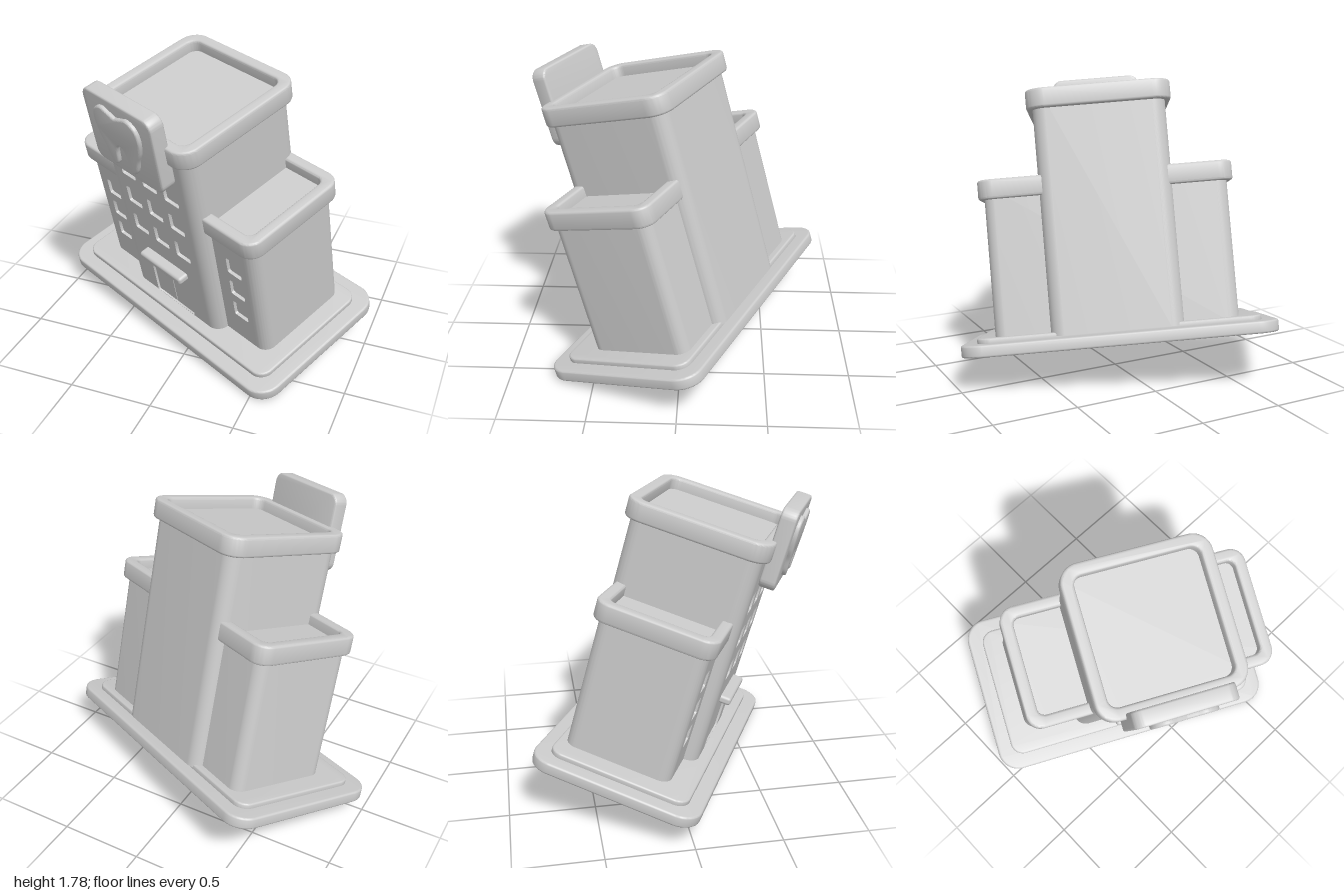
import * as THREE from 'three';
import { toCreasedNormals } from 'three/addons/utils/BufferGeometryUtils.js';
import { RoundedBoxGeometry } from 'three/addons/geometries/RoundedBoxGeometry.js';

const material = new THREE.MeshStandardMaterial({ color: 0xcccccc });
const RECESS = 0.02;

function add(parent, name, geometry) {
  const mesh = new THREE.Mesh(geometry, material);
  mesh.name = name;
  parent.add(mesh);
  return mesh;
}

// Rounded rectangle; notches [a, b] cut shallow pockets in its lower (front) side.
function roundRect(target, x0, y0, x1, y1, r, notches = []) {
  target.moveTo(x0 + r, y0);
  for (const [a, b] of notches) {
    target.lineTo(a, y0);
    target.lineTo(a, y0 + RECESS);
    target.lineTo(b, y0 + RECESS);
    target.lineTo(b, y0);
  }
  target.lineTo(x1 - r, y0);
  target.absarc(x1 - r, y0 + r, r, -Math.PI / 2, 0);
  target.absarc(x1 - r, y1 - r, r, 0, Math.PI / 2);
  target.absarc(x0 + r, y1 - r, r, Math.PI / 2, Math.PI);
  target.absarc(x0 + r, y0 + r, r, Math.PI, Math.PI * 1.5);
  return target;
}

// Extrusion along +z between two depths, with a soft edge that stays inside the outline.
function slab(shape, from, to, bevel = 0) {
  const g = new THREE.ExtrudeGeometry(shape, {
    depth: to - from - 2 * bevel, curveSegments: 8,
    bevelEnabled: bevel > 0, bevelThickness: bevel, bevelSize: bevel, bevelOffset: -bevel, bevelSegments: 3,
  });
  g.translate(0, 0, from + bevel);
  return toCreasedNormals(g, 0.6);
}

// Plan shape (x, -z) raised between two heights.
const raise = (shape, y0, y1, bevel) => slab(shape, y0, y1, bevel).rotateX(-Math.PI / 2);

const plan = (hx, back, front, r, notches) =>
  roundRect(new THREE.Shape(), -hx, -front, hx, -back, r, notches);

function parapet(hx, back, front, r, y0, y1) {
  const t = 0.07;
  const shape = plan(hx, back, front, r);
  shape.holes.push(roundRect(new THREE.Path(), -hx + t, -front + t, hx - t, -back - t, r * 0.5));
  return raise(shape, y0, y1, 0.014);
}

// Wall panel with openings, set flush into a pocket of the body.
function facade(x0, x1, top, front, openings) {
  const shape = new THREE.Shape();
  shape.moveTo(x0, 0.08);
  shape.lineTo(x1, 0.08);
  shape.lineTo(x1, top);
  shape.lineTo(x0, top);
  for (const [x, y, w, h, r] of openings) {
    shape.holes.push(roundRect(new THREE.Path(), x - w / 2, y - h / 2, x + w / 2, y + h / 2, r));
  }
  return slab(shape, front - RECESS, front);
}

function toothShape() {
  const half = [
    [0.05, 0.162], [0.11, 0.178], [0.168, 0.145], [0.187, 0.075], [0.17, -0.01], [0.138, -0.08],
    [0.112, -0.155], [0.078, -0.188], [0.05, -0.165], [0.04, -0.09], [0.024, -0.05],
  ];
  const right = half.map(([x, y]) => new THREE.Vector2(x, y));
  const left = half.map(([x, y]) => new THREE.Vector2(-x, y)).reverse();
  const shape = new THREE.Shape();
  shape.moveTo(0, 0.145);
  shape.splineThru([...right, new THREE.Vector2(0, -0.036), ...left, new THREE.Vector2(0, 0.145)]);
  return shape;
}

export function createModel() {
  const model = new THREE.Group();
  model.name = 'dentalClinic';

  // Ground slabs
  add(model, 'base', raise(plan(0.916, -0.505, 0.505, 0.13), 0, 0.07, 0.012));
  add(model, 'plinth', raise(plan(0.826, -0.42, 0.415, 0.08), 0.06, 0.1, 0.01));

  const building = new THREE.Group();
  building.name = 'building';
  building.position.x = 0.01;
  model.add(building);

  // Side wings: one block running through the tower
  const wingFront = 0.268;
  add(building, 'wings', raise(plan(0.712, -0.375, wingFront, 0.07, [[-0.63, -0.3], [0.3, 0.63]]), 0.08, 0.945));
  add(building, 'wingParapet', parapet(0.746, -0.41, 0.303, 0.09, 0.895, 1.01));
  for (const side of [-1, 1]) {
    const windows = [0.34, 0.517, 0.694].map((y) => [side * 0.536, y, 0.112, 0.112, 0.012]);
    const x = side * 0.465;
    add(building, side < 0 ? 'rightWingFacade' : 'leftWingFacade',
      facade(x - 0.165, x + 0.165, 0.94, wingFront, windows));
  }

  // Central tower
  const front = 0.345;
  add(building, 'tower', raise(plan(0.387, -0.435, front, 0.08, [[-0.29, 0.29]]), 0.08, 1.435));
  add(building, 'towerParapet', parapet(0.423, -0.472, 0.383, 0.11, 1.39, 1.505));
  const openings = [[0, 0.272, 0.344, 0.34, 0.006]];
  for (const y of [0.664, 0.88, 1.096]) {
    for (const x of [-0.187, 0, 0.187]) openings.push([x, y, 0.122, 0.118, 0.012]);
  }
  add(building, 'towerFacade', facade(-0.29, 0.29, 1.43, front, openings));

  // Entrance
  for (const side of [-1, 1]) {
    const leaf = add(building, 'doorLeaf', new THREE.BoxGeometry(0.164, 0.34, 0.016));
    leaf.position.set(side * 0.085, 0.272, front - RECESS);
  }
  const canopy = add(building, 'canopy', new RoundedBoxGeometry(0.37, 0.05, 0.09, 3, 0.018));
  canopy.position.set(0, 0.453, front + 0.02);

  // Roof sign with tooth relief
  const sign = new THREE.Group();
  sign.name = 'sign';
  sign.position.set(0, 1.458, 0);
  building.add(sign);
  add(sign, 'signPanel', slab(roundRect(new THREE.Shape(), -0.283, -0.238, 0.283, 0.238, 0.06), 0.352, 0.445, 0.012));
  add(sign, 'toothRelief', slab(toothShape(), 0.43, 0.468, 0.01)).position.y = 0.008;

  // Whole building is turned and leans forward
  const right = new THREE.Vector3(0.8973, -0.079, 0.4343).normalize();
  const out = right.clone().cross(new THREE.Vector3(-0.0405, 0.9651, 0.2586)).normalize();
  const up = out.clone().cross(right);
  model.quaternion.setFromRotationMatrix(new THREE.Matrix4().makeBasis(right, up, out));
  model.position.set(0.001, 0.191, -0.061);

  const root = new THREE.Group();
  root.add(model);
  return root;
}
